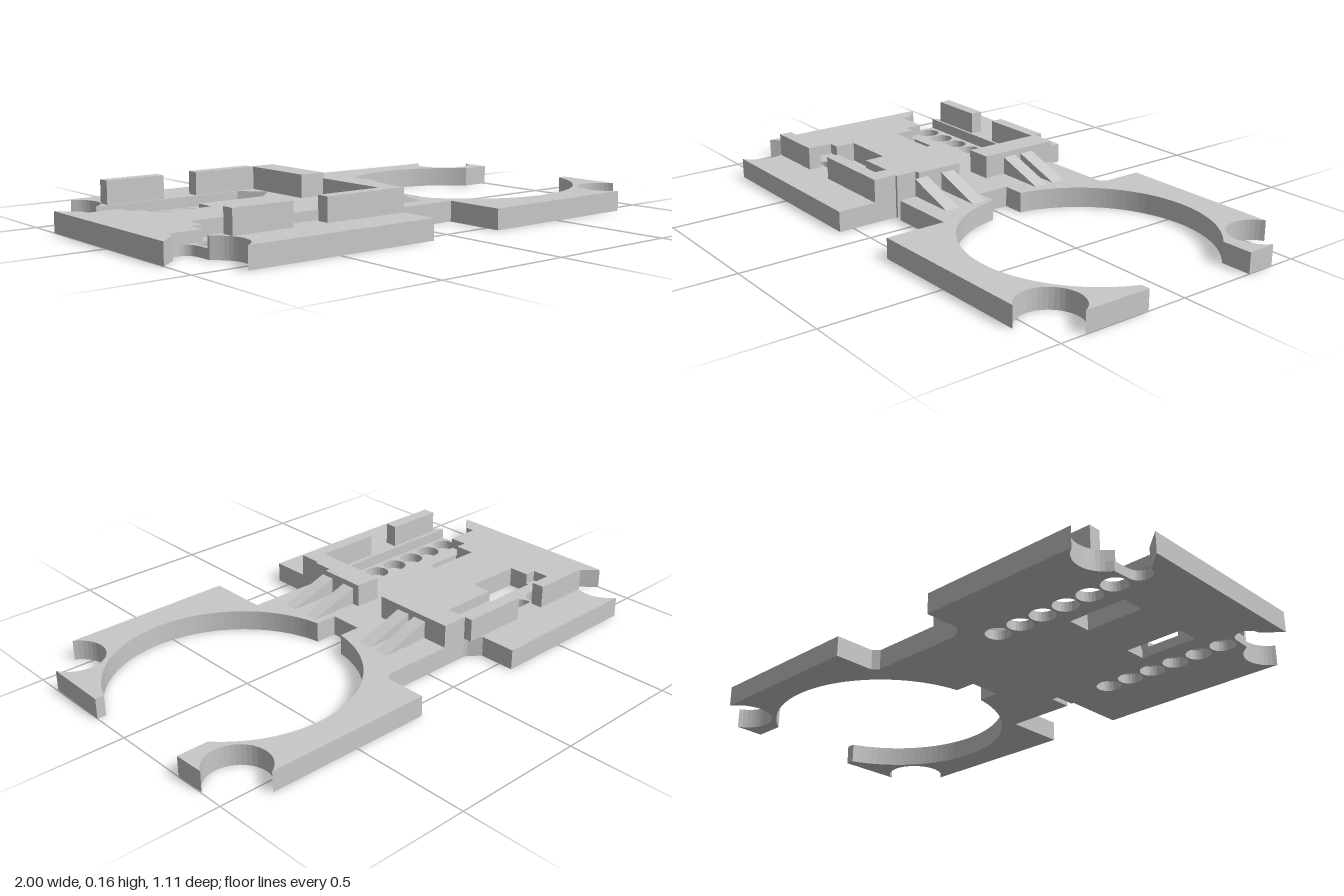
import * as THREE from 'three';

const FLOOR = 0.035, DECK = 0.075, WALL = 0.16;

// Points [x, z] along an arc, angles in degrees, z = cz + r sin(a)
function arc(cx, cz, r, a0, a1, n) {
  return Array.from({ length: n + 1 }, (_, i) => {
    const a = THREE.MathUtils.degToRad(a0 + (a1 - a0) * i / n);
    return [cx + r * Math.cos(a), cz + r * Math.sin(a)];
  });
}

const toVectors = pts => pts.map(([x, z]) => new THREE.Vector2(x, -z));
const rect = (x0, z0, x1, z1) => [[x0, z0], [x1, z0], [x1, z1], [x0, z1]];

export function createModel() {
  const group = new THREE.Group();
  const grey = new THREE.MeshStandardMaterial({ color: 0xc8c8c8 });
  grey.name = 'grey';

  // Upright prism from a plan outline; holes wind against the outline
  function slab(name, pts, y0, y1, holes = []) {
    const shape = new THREE.Shape(toVectors(pts));
    shape.holes = holes.map(h => new THREE.Path(toVectors(h).reverse()));
    const geo = new THREE.ExtrudeGeometry(shape, { depth: y1 - y0, bevelEnabled: false });
    geo.rotateX(-Math.PI / 2).translate(0, y0, 0);
    const mesh = new THREE.Mesh(geo, grey);
    mesh.name = name;
    group.add(mesh);
  }

  // Plate outline from the back left corner round to the front left corner
  const edge = [
    [-0.84, -0.555], [-0.237, -0.555], [-0.237, -0.42], [-0.195, -0.385], [-0.18, -0.38],
    [0.19, -0.38], [0.213, -0.4], [0.213, -0.555],
    ...arc(0.897, -0.455, 0.111, 241, 26, 24),
    [1, -0.295],
    ...arc(0.557, -0.002, 0.439, -41.7, -171.9, 40),
    [0.04, -0.064], [0.04, 0.06],
    ...arc(0.557, -0.002, 0.439, 171.8, 21, 44),
    [1, 0.155],
    ...arc(0.897, 0.453, 0.111, -26, -241, 24),
    [0.19, 0.555], [0.19, 0.325], [-0.075, 0.325], [-0.075, 0.24], [-0.1, 0.24],
    [-0.1, 0.32], [-0.11, 0.32], [-0.11, 0.555],
    ...arc(-0.898, 0.457, 0.111, 60, -47, 14),
    [-0.845, 0.355],
  ];
  const backNotch = arc(-0.898, -0.458, 0.111, 47, -60, 14).slice(0, -1);

  // Lower layer: pocket floors with light holes and windows
  const holes = [rect(-0.755, -0.2, -0.535, -0.11), rect(-0.755, 0.1, -0.535, 0.185)];
  for (const z of [-0.295, 0.29])
    for (let i = 0; i < 6; i++)
      holes.push(arc(-0.793 + i * 0.098, z, 0.045, 0, 345, 23));
  slab('lowerPlate', [
    ...edge,
    ...arc(-0.89, 0.29, 0.042, 0, -180, 14),
    [-1, 0.35], [-1, -0.36],
    ...arc(-0.89, -0.295, 0.042, 180, 0, 14),
    [-0.845, -0.36], ...backNotch,
  ], 0, FLOOR, holes);

  // Upper layer: pointed pockets open at the left end, joined to the windows
  slab('upperPlate', [
    ...edge,
    [-0.845, 0.345], [-0.26, 0.345], [-0.18, 0.26], [-0.26, 0.18],
    [-0.535, 0.18], [-0.535, 0.1], [-0.755, 0.1], [-0.755, 0.18], [-0.8, 0.18], [-0.8, 0.25],
    [-0.93, 0.25], [-0.93, 0.285], [-1, 0.35],
    [-1, -0.36], [-0.93, -0.295], [-0.93, -0.26],
    [-0.8, -0.26], [-0.8, -0.19], [-0.755, -0.19], [-0.755, -0.11], [-0.535, -0.11], [-0.535, -0.19],
    [-0.26, -0.19], [-0.18, -0.272], [-0.26, -0.355], [-0.845, -0.355],
    ...backNotch,
  ], FLOOR, DECK);

  // Short side walls
  slab('backSideWall', rect(-0.797, -0.412, -0.57, -0.365), DECK, WALL);
  slab('frontSideWall', rect(-0.797, 0.36, -0.57, 0.408), DECK, WALL);

  // L-shaped end walls
  slab('backCornerWall', [
    [-0.435, -0.412], [-0.18, -0.412], [-0.18, -0.38], [-0.08, -0.38],
    [-0.08, -0.064], [-0.18, -0.064], [-0.18, -0.365], [-0.435, -0.365],
  ], DECK, WALL);
  slab('frontCornerWall', [
    [-0.18, 0.06], [-0.08, 0.06], [-0.08, 0.24], [-0.1, 0.24], [-0.1, 0.32], [-0.11, 0.32],
    [-0.11, 0.408], [-0.435, 0.408], [-0.435, 0.36], [-0.18, 0.36],
  ], DECK, WALL);

  // Sloping ribs bracing the end walls, sunk into the plate
  const ramp = new THREE.Shape([
    new THREE.Vector2(-0.08, 0.06), new THREE.Vector2(0.11, 0.06),
    new THREE.Vector2(0.11, DECK), new THREE.Vector2(-0.08, 0.14),
  ]);
  const rampGeo = new THREE.ExtrudeGeometry(ramp, { depth: 0.054, bevelEnabled: false });
  for (const z of [-0.282, -0.202, 0.088, 0.202]) {
    const rib = new THREE.Mesh(rampGeo, grey);
    rib.name = 'rampRib';
    rib.position.z = z;
    group.add(rib);
  }
  return group;
}
